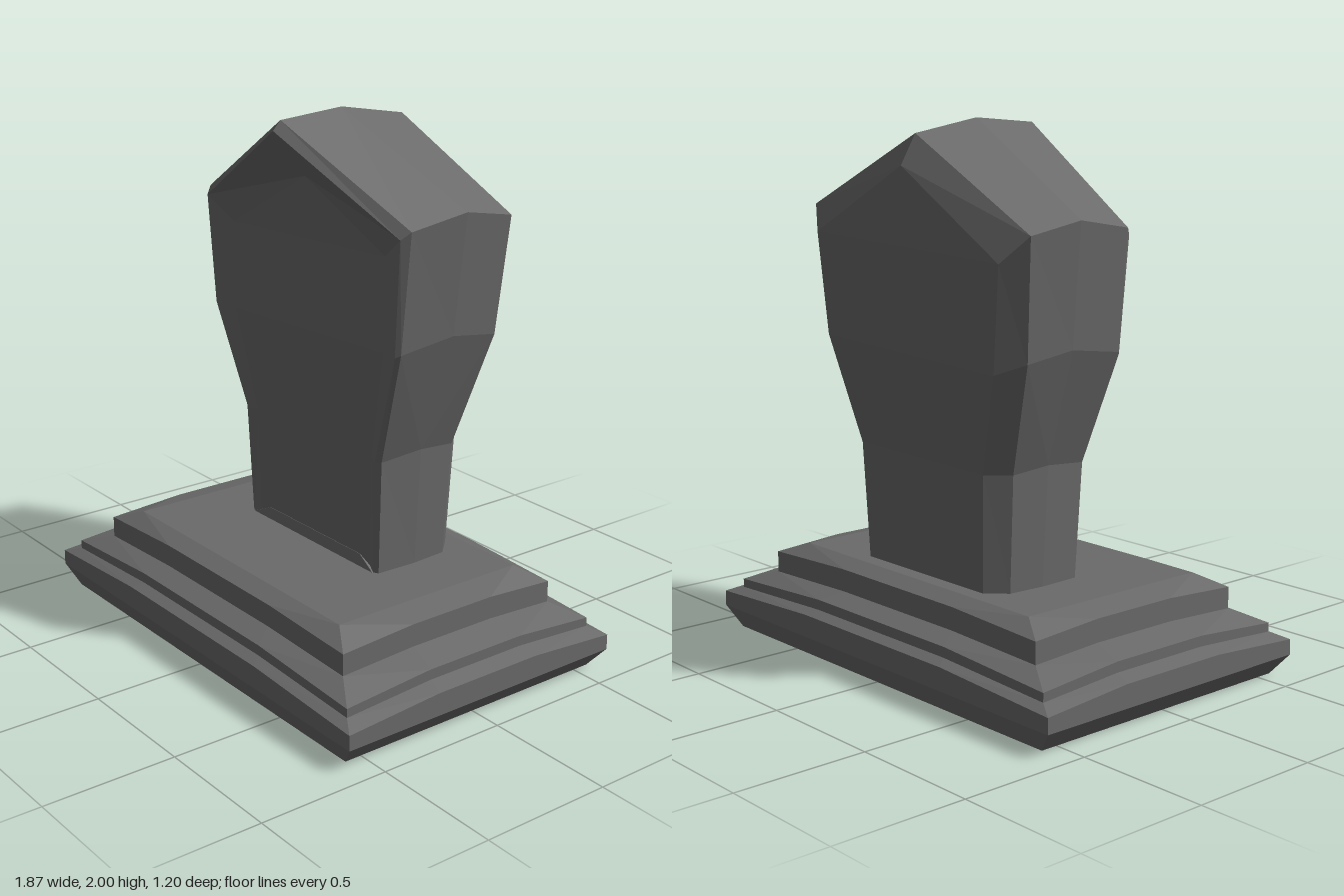
import * as THREE from 'three';

const gap = (a, b) => Math.hypot(a[0] - b[0], a[1] - b[1], a[2] - b[2]);

// Skins a stack of closed rings (equal point counts) and caps both ends.
function loft(rings) {
  const pos = [];
  const tri = (a, b, c) => pos.push(...a, ...b, ...c);
  // split along the shorter diagonal, so mirrored sides match
  const quad = (a, b, c, d) => {
    if (gap(a, c) < gap(b, d)) { tri(a, b, c); tri(a, c, d); }
    else { tri(a, b, d); tri(b, c, d); }
  };
  const n = rings[0].length;
  for (let i = 0; i < rings.length - 1; i++) {
    for (let j = 0; j < n; j++) {
      const k = (j + 1) % n;
      quad(rings[i][j], rings[i][k], rings[i + 1][k], rings[i + 1][j]);
    }
  }
  const cap = (r) => {
    for (let i = 0; i + 1 <= n - 2 - i; i++) {
      if (i + 1 === n - 2 - i) tri(r[i], r[i + 1], r[n - 1 - i]);
      else quad(r[i], r[i + 1], r[n - 2 - i], r[n - 1 - i]);
    }
  };
  cap(rings[rings.length - 1]);
  cap([...rings[0]].reverse());
  const g = new THREE.BufferGeometry();
  g.setAttribute('position', new THREE.Float32BufferAttribute(pos, 3));
  g.computeVertexNormals();
  return g;
}

// Rectangular tier ring whose corners are worn lower than its edges.
const OUTLINE = [
  [1, 1], [1, 0.35], [1, -0.4], [1, -1], [0.42, -1], [-0.42, -1],
  [-1, -1], [-1, -0.4], [-1, 0.35], [-1, 1], [-0.45, 1], [0.42, 1],
];
function tierRing([w, d, yCorner, yMid]) {
  return OUTLINE.map(([x, z], i) => [x * w, i % 3 === 0 ? yCorner : yMid, z * d]);
}

// Gabled outline from its right half: foot, waist, shoulder, eave, peak.
// The left shoulder and eave sit a little lower and wider.
const LEFT_DROP = [0, 0.01, 0.04, 0.043];
function slabRing(half) {
  const left = half.slice(0, 4).map(([x, y, z], i) => [-x * 1.02, y - LEFT_DROP[i], z]);
  return [...half, ...left.reverse()];
}

export function createModel() {
  const model = new THREE.Group();
  const stone = new THREE.MeshStandardMaterial({ color: 0x6a6a6a, flatShading: true });
  stone.name = 'dark grey stone';
  const add = (name, geometry) => {
    const mesh = new THREE.Mesh(geometry, stone);
    mesh.name = name;
    model.add(mesh);
  };

  // Three stepped tiers: half width, half depth, corner height, edge height
  add('steppedBase', loft([
    [0.87, 0.565, 0, 0],
    [0.935, 0.6, 0.08, 0.08],
    [0.935, 0.6, 0.138, 0.166],
    [0.868, 0.558, 0.16, 0.183],
    [0.868, 0.558, 0.193, 0.222],
    [0.743, 0.477, 0.235, 0.25],
    [0.743, 0.477, 0.316, 0.335],
    [0.63, 0.405, 0.36, 0.36],
  ].map(tierRing)));

  // Headstone, skinned from the back panel to the recessed front panel
  add('headstone', loft([
    slabRing([[0.32, 0.36, -0.345], [0.34, 0.8, -0.36], [0.46, 1.2, -0.42], [0.5, 1.58, -0.435], [0, 1.84, -0.435]]),
    slabRing([[0.385, 0.36, -0.275], [0.41, 0.8, -0.285], [0.55, 1.24, -0.35], [0.59, 1.675, -0.375], [0, 1.95, -0.37]]),
    slabRing([[0.395, 0.36, -0.13], [0.42, 0.815, -0.13], [0.557, 1.27, -0.15], [0.603, 1.716, -0.16], [0, 2, -0.09]]),
    slabRing([[0.388, 0.36, 0.035], [0.41, 0.8, 0.045], [0.55, 1.24, 0.08], [0.59, 1.678, 0.075], [0, 1.98, 0.18]]),
    slabRing([[0.37, 0.36, 0.045], [0.385, 0.8, 0.055], [0.535, 1.23, 0.095], [0.567, 1.65, 0.105], [0, 1.945, 0.212]]),
    slabRing([[0.335, 0.36, 0.035], [0.345, 0.8, 0.04], [0.44, 1.22, 0.07], [0.445, 1.565, 0.07], [0, 1.77, 0.075]]),
  ]));

  // Low sill at the foot of the front panel
  add('frontSill', loft([
    [[0.37, 0.36, 0.05], [0.37, 0.36, 0.03], [-0.37, 0.36, 0.03], [-0.37, 0.36, 0.05]],
    [[0.28, 0.4, 0.037], [0.28, 0.4, 0.03], [-0.28, 0.4, 0.03], [-0.28, 0.4, 0.037]],
  ]));

  return model;
}
